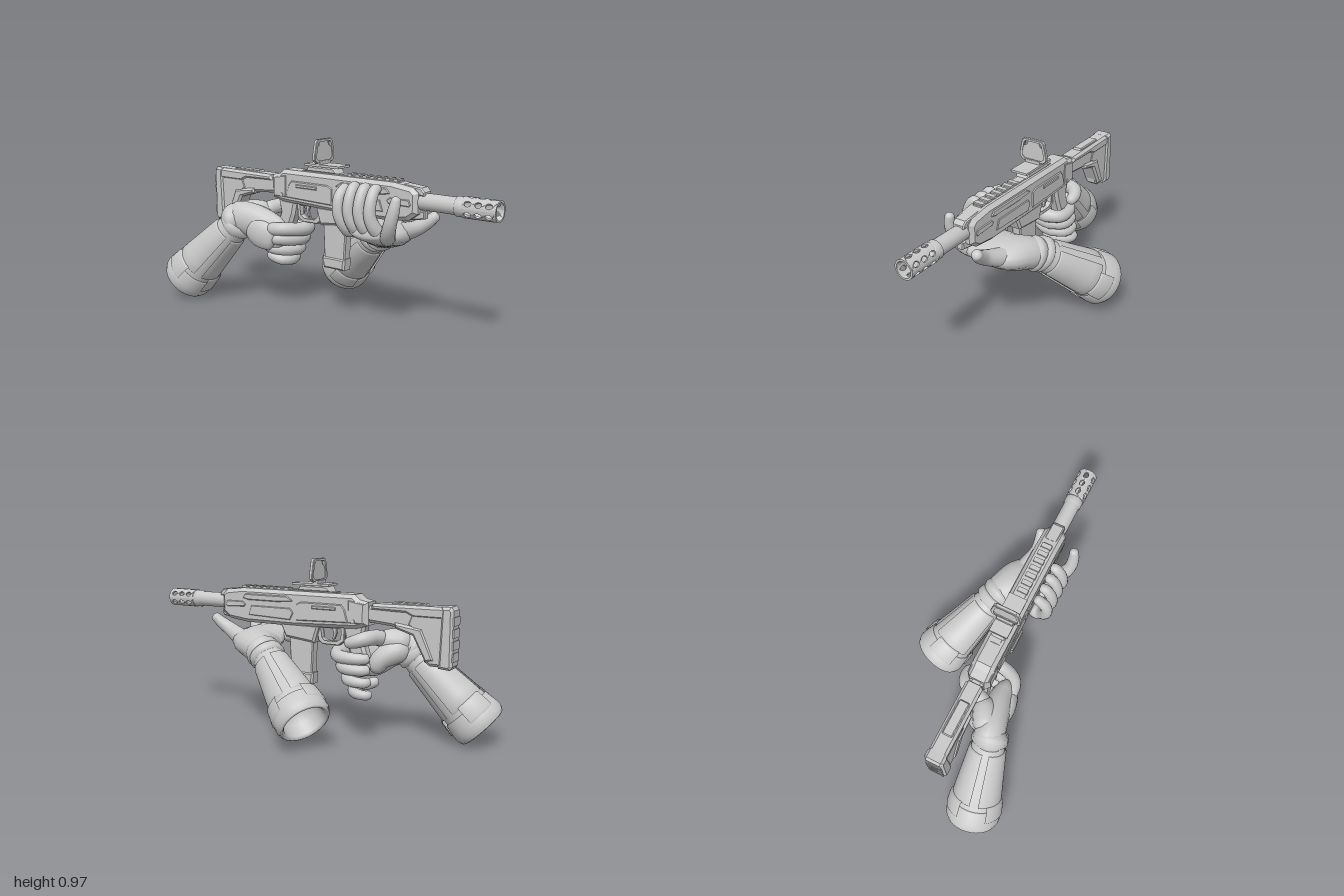
import * as THREE from 'three';

// Thin shells and open plates show both faces
const grey = new THREE.MeshStandardMaterial({ color: 0xc8c8c8, side: THREE.DoubleSide });
grey.name = 'matte grey';
const GX = -0.06; // centre plane of the gun
const BY = 0.705; // height of the bore
const V = (a) => new THREE.Vector3(a[0], a[1], a[2]);

function add(parent, name, geometry) {
  const mesh = new THREE.Mesh(geometry, grey);
  mesh.name = name;
  parent.add(mesh);
  return mesh;
}

// Side outline in (z, y), extruded across x with a chamfer
function prism(parent, name, pts, width, bevel = 0.006, x = GX, holes = []) {
  const shape = new THREE.Shape(pts.map((p) => new THREE.Vector2(p[0], p[1])));
  holes.forEach((h) => shape.holes.push(new THREE.Path(h.map((p) => new THREE.Vector2(p[0], p[1])))));
  const g = new THREE.ExtrudeGeometry(shape, {
    depth: width - 2 * bevel, bevelThickness: bevel, bevelSize: bevel, bevelOffset: -bevel, bevelSegments: 1,
  });
  g.translate(0, 0, -(width - 2 * bevel) / 2).rotateY(-Math.PI / 2).translate(x, 0, 0);
  return add(parent, name, g);
}

function box(parent, name, w, h, d, x, y, z) {
  return add(parent, name, new THREE.BoxGeometry(w, h, d).translate(x, y, z));
}

// Rounded limb through stations [x, y, z, side radius, up radius]
function limb(parent, name, stations, up = [0, 1, 0], rings = 30, sides = 16) {
  const path = new THREE.CatmullRomCurve3(stations.map(V));
  const radii = new THREE.CatmullRomCurve3(stations.map((s) => new THREE.Vector3(s[3], s[4] ?? s[3], 0)));
  const length = path.getLength(), pos = [], idx = [], ref = V(up);
  for (let i = 0; i <= rings; i++) {
    const t = (1 - Math.cos((Math.PI * i) / rings)) / 2;
    const p = path.getPoint(t), d = path.getTangent(t), r = radii.getPoint(t);
    const side = ref.clone().cross(d).normalize(), top = d.clone().cross(side);
    const k = Math.min(1, (Math.min(t, 1 - t) * length) / Math.min(r.x, r.y));
    const f = Math.max(0.02, Math.sqrt(1 - (1 - k) ** 2));
    for (let j = 0; j < sides; j++) {
      const a = (j / sides) * Math.PI * 2;
      const q = p.clone().addScaledVector(side, Math.cos(a) * r.x * f).addScaledVector(top, Math.sin(a) * r.y * f);
      pos.push(q.x, q.y, q.z);
      if (i < rings) {
        const n = (j + 1) % sides, A = i * sides + j, B = i * sides + n;
        idx.push(A, B, A + sides, B, B + sides, A + sides);
      }
    }
  }
  const g = new THREE.BufferGeometry();
  g.setAttribute('position', new THREE.Float32BufferAttribute(pos, 3));
  g.setIndex(idx);
  g.computeVertexNormals();
  return add(parent, name, g);
}

// Armoured forearm: hollow sleeve with raised plates, local y runs wrist to elbow
function forearm(parent, name, wrist, elbow, spin) {
  const arm = new THREE.Group();
  arm.name = name;
  const dir = V(elbow).sub(V(wrist)), L = dir.length();
  const lathe = (part, pts, start = 0, len = Math.PI * 2) =>
    add(arm, part, new THREE.LatheGeometry(pts.map((p) => new THREE.Vector2(p[0], p[1] * L)), 32, start, len));
  lathe('sleeve', [[0.06, -0.02], [0.08, 0], [0.088, 0.12], [0.104, 0.35], [0.12, 0.6], [0.133, 0.8], [0.142, 0.95],
    [0.138, 1], [0.127, 1.01], [0.114, 0.98], [0.106, 0.85], [0.09, 0.7], [0, 0.64]]);
  lathe('elbowBand', [[0.13, 0.76], [0.139, 0.77], [0.149, 0.89], [0.15, 0.95], [0.141, 0.99]]);
  lathe('wristBand', [[0.076, -0.03], [0.095, -0.01], [0.099, 0.05], [0.086, 0.08]]);
  for (let i = 0; i < 3; i++) {
    const start = spin + (i * Math.PI * 2) / 3;
    lathe('bracerPlate', [[0.09, 0.14], [0.1, 0.155], [0.112, 0.35], [0.128, 0.6], [0.134, 0.7], [0.122, 0.72]], start, 1.75);
    lathe('elbowPlate', [[0.134, 0.69], [0.145, 0.71], [0.154, 0.86], [0.143, 0.89]], start + 0.35, 1.05);
  }
  arm.quaternion.setFromUnitVectors(new THREE.Vector3(0, 1, 0), dir.normalize());
  arm.position.copy(V(wrist));
  parent.add(arm);
}

function buildGun(gun) {
  // Barrel and collar, turned about the bore as [radius, z]
  const barrel = [[0.02, 0.5], [0.043, 0.5], [0.043, 0.78], [0.049, 0.785], [0.049, 0.825], [0.036, 0.83], [0.036, 0.8], [0, 0.8]];
  add(gun, 'barrel', new THREE.LatheGeometry(barrel.map((p) => new THREE.Vector2(p[0], p[1])), 28).rotateX(Math.PI / 2).translate(GX, BY, 0));
  // Perforated muzzle brake, six bent panels
  const arc = Math.PI / 3, R = 0.052;
  for (let n = 0; n < 6; n++) {
    const s = new THREE.Shape(), steps = [0, 0.25, 0.5, 0.75, 1];
    steps.forEach((t) => (t ? s.lineTo(t * arc * R, 0) : s.moveTo(0, 0)));
    steps.slice().reverse().forEach((t) => s.lineTo(t * arc * R, 0.18));
    for (let k = 0; k < 3; k++) {
      s.holes.push(new THREE.Path().absellipse(arc * R / 2, 0.035 + k * 0.054, 0.014, 0.018, 0, Math.PI * 2, true));
    }
    const g = new THREE.ExtrudeGeometry(s, { depth: 0.01, bevelEnabled: false, curveSegments: 6 });
    const p = g.attributes.position;
    for (let i = 0; i < p.count; i++) {
      const a = -p.getX(i) / R + n * arc, r = R - 0.01 + p.getZ(i);
      p.setXYZ(i, GX + Math.cos(a) * r, BY + Math.sin(a) * r, 0.82 + p.getY(i));
    }
    g.computeVertexNormals();
    add(gun, 'muzzleBrakePanel', g);
  }
  // Receiver and handguard
  prism(gun, 'receiver', [[0.59, 0.645], [0.59, 0.75], [0.56, 0.775], [0.45, 0.79], [-0.27, 0.79], [-0.3, 0.765], [-0.35, 0.755],
    [-0.35, 0.63], [-0.28, 0.61], [0.1, 0.595], [0.42, 0.595], [0.54, 0.61]], 0.12, 0.02);
  prism(gun, 'frontBlock', [[0.62, 0.755], [0.6, 0.775], [0.5, 0.785], [0.5, 0.74], [0.62, 0.735]], 0.07);
  prism(gun, 'lowerFrontBlock', [[0.615, 0.62], [0.615, 0.66], [0.5, 0.66], [0.5, 0.6]], 0.04);
  prism(gun, 'magazineWell', [[0.2, 0.61], [0.165, 0.53], [-0.02, 0.51], [-0.05, 0.61]], 0.09, 0.012);
  prism(gun, 'magazine', [[0.15, 0.56], [0.135, 0.33], [0, 0.33], [-0.01, 0.56]], 0.056);
  prism(gun, 'magazineBase', [[0.14, 0.34], [0.135, 0.275], [-0.005, 0.275], [-0.01, 0.34]], 0.07, 0.01);
  for (const s of [-1, 1]) {
    const x = GX + s * 0.058;
    prism(gun, 'handguardRail', [[0.44, 0.735], [0.42, 0.76], [0.14, 0.76], [0.1, 0.735], [0.2, 0.725], [0.4, 0.725]], 0.016, 0.005, x);
    prism(gun, 'handguardVent', [[0.56, 0.69], [0.55, 0.715], [0.44, 0.715], [0.42, 0.7], [0.43, 0.685], [0.55, 0.68]], 0.012, 0.004, x);
    prism(gun, 'handguardLowerPanel', [[0.4, 0.64], [0.38, 0.695], [0.12, 0.695], [0.1, 0.67], [0.12, 0.63]], 0.012, 0.004, x);
    prism(gun, 'receiverPanel', [[0.08, 0.63], [0.08, 0.72], [0.05, 0.735], [-0.2, 0.735], [-0.22, 0.71], [-0.24, 0.64]], 0.014, 0.005, x);
    prism(gun, 'ejectionCover', [[-0.02, 0.7], [-0.02, 0.72], [-0.17, 0.72], [-0.17, 0.7]], 0.022, 0.005, x);
    prism(gun, 'rearCollarPlate', [[-0.24, 0.64], [-0.24, 0.76], [-0.33, 0.745], [-0.33, 0.64]], 0.012, 0.004, x);
    const pin = add(gun, 'pin', new THREE.CylinderGeometry(0.012, 0.012, 0.02, 14).rotateZ(Math.PI / 2));
    pin.position.set(x, 0.65, -0.27);
  }
  // Top rail with teeth
  box(gun, 'topRail', 0.05, 0.02, 0.62, GX, 0.785, 0.16);
  for (let i = 0; i < 7; i++) box(gun, 'railTooth', 0.056, 0.012, 0.026, GX, 0.797, 0.45 - i * 0.047);
  // Trigger and guard
  prism(gun, 'triggerGuard', [[-0.02, 0.615], [-0.035, 0.525], [-0.06, 0.505], [-0.16, 0.505], [-0.195, 0.53], [-0.2, 0.615]], 0.036, 0.004, GX,
    [[[-0.045, 0.6], [-0.055, 0.54], [-0.075, 0.522], [-0.15, 0.522], [-0.178, 0.54], [-0.182, 0.6]]]);
  prism(gun, 'trigger', [[-0.11, 0.605], [-0.125, 0.57], [-0.115, 0.535], [-0.13, 0.535], [-0.145, 0.57], [-0.14, 0.605]], 0.016, 0.003);
  prism(gun, 'pistolGrip', [[-0.19, 0.63], [-0.21, 0.54], [-0.27, 0.38], [-0.36, 0.4], [-0.31, 0.55], [-0.33, 0.64]], 0.075, 0.016);
  // Stock
  prism(gun, 'stockTube', [[-0.33, 0.65], [-0.33, 0.735], [-0.66, 0.735], [-0.66, 0.62], [-0.5, 0.635]], 0.076, 0.016);
  prism(gun, 'stockComb', [[-0.36, 0.715], [-0.37, 0.75], [-0.8, 0.755], [-0.8, 0.69], [-0.6, 0.69], [-0.56, 0.71]], 0.095, 0.014);
  prism(gun, 'buttStock', [[-0.6, 0.75], [-0.56, 0.65], [-0.64, 0.6], [-0.66, 0.47], [-0.69, 0.45], [-0.8, 0.45], [-0.8, 0.75]], 0.085, 0.016);
  prism(gun, 'stockBrace', [[-0.5, 0.66], [-0.5, 0.63], [-0.6, 0.6], [-0.67, 0.47], [-0.72, 0.48], [-0.65, 0.64]], 0.1, 0.012);
  prism(gun, 'buttPad', [[-0.75, 0.755], [-0.8, 0.758], [-0.813, 0.74], [-0.815, 0.46], [-0.8, 0.44], [-0.74, 0.445]], 0.104, 0.014);
  for (let i = 0; i < 4; i++) box(gun, 'buttRidge', 0.084, 0.045, 0.008, GX, 0.505 + i * 0.06, -0.814);
  prism(gun, 'stockTopInset', [[-0.47, 0.745], [-0.48, 0.762], [-0.66, 0.762], [-0.67, 0.745]], 0.055, 0.005);
  // Optic: mount, deck, framed window with open upper corners
  prism(gun, 'opticMount', [[0.09, 0.795], [0.07, 0.822], [-0.1, 0.822], [-0.12, 0.795]], 0.076, 0.006);
  box(gun, 'opticDeck', 0.1, 0.012, 0.23, GX, 0.831, 0);
  box(gun, 'opticClamp', 0.09, 0.022, 0.034, GX, 0.842, -0.03);
  const mirrored = (half) => [...half, ...half.map(([x, y]) => [-x, y]).reverse()].map(([x, y]) => new THREE.Vector2(GX + x, y));
  const edge = [[0.055, 0.97], [0.068, 0.957], [0.083, 0.89], [0.083, 0.862], [0.064, 0.845]];
  const frame = new THREE.Shape(mirrored(edge));
  frame.holes.push(new THREE.Path(mirrored(edge.map(([x, y]) => [x * 0.83, 0.907 + (y - 0.907) * 0.83]))));
  add(gun, 'opticFrame', new THREE.ExtrudeGeometry(frame, { depth: 0.014, bevelThickness: 0.003, bevelSize: 0.003, bevelOffset: -0.003, bevelSegments: 1 })
    .translate(0, 0, -0.032));
  const lens = new THREE.Shape(mirrored([[0.03, 0.962], [0.042, 0.935], [0.068, 0.92], [0.071, 0.865], [0.055, 0.853]]));
  add(gun, 'opticWindow', new THREE.ExtrudeGeometry(lens, { depth: 0.004, bevelEnabled: false }).translate(0, 0, -0.027));
}

// Hand around the pistol grip
function buildTriggerHand(hand) {
  limb(hand, 'palm', [[-0.215, 0.49, -0.58, 0.078, 0.078], [-0.21, 0.51, -0.5, 0.08, 0.092], [-0.19, 0.49, -0.4, 0.075, 0.1],
    [-0.175, 0.44, -0.3, 0.065, 0.11], [-0.175, 0.41, -0.21, 0.04, 0.085]]);
  limb(hand, 'palmHeel', [[-0.18, 0.5, -0.52, 0.065], [-0.125, 0.485, -0.45, 0.066], [-0.085, 0.44, -0.39, 0.055], [-0.085, 0.37, -0.36, 0.042]]);
  limb(hand, 'thumbBase', [[-0.2, 0.53, -0.53, 0.07], [-0.15, 0.54, -0.44, 0.068], [-0.1, 0.55, -0.36, 0.048]]);
  limb(hand, 'thumb', [[-0.15, 0.545, -0.4, 0.045], [-0.06, 0.565, -0.37, 0.042], [0.005, 0.565, -0.345, 0.04], [0.03, 0.55, -0.3, 0.036], [0.032, 0.535, -0.24, 0.026]]);
  limb(hand, 'gloveCuff', [[-0.236, 0.465, -0.6, 0.092], [-0.225, 0.495, -0.53, 0.098], [-0.21, 0.51, -0.46, 0.09]]);
  // Fingers wrap the front of the grip and curl back to the heel
  [[0.47, 0, 0], [0.41, -0.03, 0.005], [0.345, -0.06, 0.02], [0.28, -0.1, 0.06]].forEach(([y, dz, dx], i) => {
    const r = 0.037 - i * 0.0025;
    limb(hand, 'finger', [[-0.215 + dx, y + i * 0.012, -0.3 + dz * 0.5, r], [-0.2 + dx, y + 0.01, -0.2 + dz, r], [-0.12, y, -0.155 + dz, r],
      [-0.03, y - 0.005, -0.16 + dz, r], [0.01, y - 0.012, -0.2 + dz, r * 0.95], [0, y - 0.018, -0.31 - i * 0.015, r * 0.85], [-0.03, y - 0.014, -0.355, r * 0.7]]);
  });
  limb(hand, 'backOfHandPad', [[-0.235, 0.47, -0.42, 0.035, 0.06], [-0.232, 0.44, -0.33, 0.04, 0.08], [-0.215, 0.42, -0.24, 0.03, 0.07]]);
}

// Hand cradling the handguard
function buildSupportHand(hand) {
  limb(hand, 'palm', [[0.14, 0.44, 0.16, 0.08, 0.08], [0.09, 0.475, 0.26, 0.1, 0.085], [0.02, 0.495, 0.33, 0.14, 0.078],
    [-0.07, 0.51, 0.35, 0.145, 0.065], [-0.15, 0.53, 0.34, 0.13, 0.05], [-0.19, 0.55, 0.34, 0.1, 0.04]]);
  limb(hand, 'gloveCuff', [[0.14, 0.43, 0.17, 0.096], [0.11, 0.46, 0.23, 0.102], [0.075, 0.48, 0.29, 0.09]]);
  limb(hand, 'thumb', [[0.07, 0.48, 0.3, 0.055], [0.04, 0.51, 0.42, 0.05], [0.015, 0.55, 0.52, 0.04], [0.025, 0.59, 0.58, 0.033], [0.042, 0.63, 0.62, 0.025]]);
  // Curled fingers
  [0.18, 0.245, 0.31, 0.375].forEach((z, i) => {
    limb(hand, 'finger', [[-0.08, 0.51, z + 0.03, 0.036], [-0.16, 0.54, z + 0.02, 0.036], [-0.197, 0.62, z, 0.032], [-0.19, 0.7, z, 0.03],
      [-0.155, 0.752 - (i === 0) * 0.02, z, 0.028], [-0.125, 0.75, z, 0.022]], [0, 0, 1]);
  });
  // Extended index finger
  limb(hand, 'indexFinger', [[-0.07, 0.5, 0.4, 0.045], [-0.15, 0.52, 0.45, 0.04], [-0.195, 0.59, 0.49, 0.034], [-0.2, 0.67, 0.515, 0.03], [-0.19, 0.74, 0.525, 0.022]], [0, 0, 1]);
}

export function createModel() {
  const model = new THREE.Group();
  model.name = 'armouredHandsWithRifle';
  const part = (name, build) => {
    const g = new THREE.Group();
    g.name = name;
    build(g);
    model.add(g);
  };
  part('rifle', buildGun);
  part('triggerHand', buildTriggerHand);
  part('supportHand', buildSupportHand);
  forearm(model, 'triggerForearm', [-0.22, 0.48, -0.515], [-0.293, 0.1, -0.895], 0.3);
  forearm(model, 'supportForearm', [0.12, 0.452, 0.2], [0.31, 0.158, -0.165], 0.3);
  return model;
}
